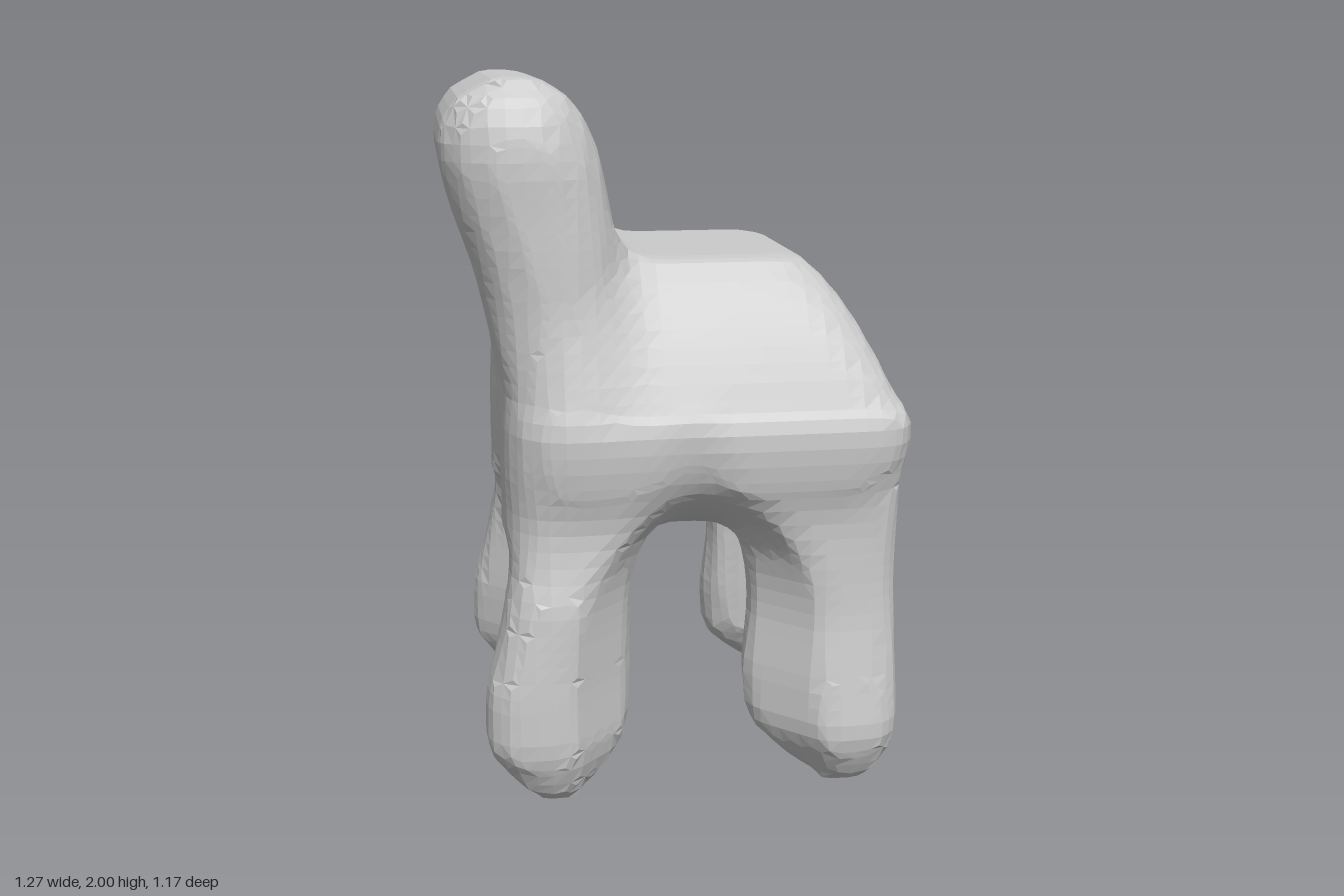
import * as THREE from 'three';

const material = new THREE.MeshStandardMaterial({ color: 0xcccccc, flatShading: true });
const CELL = 0.045;  // facet size
const BLEND = 0.12;  // fillet size where parts meet

// Distance to a body given by rounded-rectangle sections [y, x0, x1, z0, z1, cornerRadius, band];
// band is the half width allowed either side of the section's diagonal
function sectionField(sections) {
  const last = sections.length - 1;
  return (x, y, z) => {
    let s = 0;
    while (s < last - 1 && sections[s + 1][0] < y) s++;
    const low = sections[s], high = sections[s + 1];
    const t = THREE.MathUtils.clamp((y - low[0]) / (high[0] - low[0]), 0, 1);
    const [, x0, x1, z0, z1, radius, band] = low.map((v, i) => v + (high[i] - v) * t);
    const hx = (x1 - x0) / 2, hz = (z1 - z0) / 2, r = Math.min(radius, hx, hz);
    const cx = x - (x0 + x1) / 2, cz = z - (z0 + z1) / 2;
    const dx = Math.abs(cx) - hx + r, dz = Math.abs(cz) - hz + r;
    const side = Math.hypot(Math.max(dx, 0), Math.max(dz, 0)) + Math.min(Math.max(dx, dz), 0) - r;
    const cut = Math.abs(cx - cz) * Math.SQRT1_2 - band;
    return Math.max(side, cut, y - sections[last][0], sections[0][0] - y);
  };
}

// Union with a soft fillet
function blend(a, b) {
  const h = Math.max(BLEND - Math.abs(a - b), 0) / BLEND;
  return Math.min(a, b) - h * h * BLEND / 4;
}

// Sections symmetric in z, without a diagonal cut
const symmetric = ([y, x0, x1, z, r]) => [y, x0, x1, -z, z, r, 9];

// Seat: [y, x0, x1, half depth, radius], domed underside and sloping top
const seat = [
  [0.70, -0.05, 0.16, 0.11, 0.08], [0.72, -0.13, 0.24, 0.21, 0.12], [0.77, -0.26, 0.37, 0.35, 0.14],
  [0.84, -0.36, 0.49, 0.465, 0.14], [0.92, -0.40, 0.56, 0.535, 0.12], [1.0, -0.40, 0.605, 0.555, 0.09],
  [1.09, -0.40, 0.61, 0.56, 0.09], [1.18, -0.40, 0.575, 0.535, 0.11], [1.28, -0.40, 0.53, 0.49, 0.12],
  [1.38, -0.40, 0.475, 0.435, 0.12], [1.46, -0.40, 0.41, 0.375, 0.10], [1.51, -0.40, 0.35, 0.33, 0.07]
].map(symmetric);

// Backrest: leans outward, rounded along the top
const backrest = [
  [0.8, -0.455, -0.2, 0.46, 0.16], [0.95, -0.46, -0.18, 0.50, 0.16], [1.1, -0.465, -0.16, 0.53, 0.16],
  [1.2, -0.485, -0.15, 0.53, 0.17], [1.3, -0.51, -0.15, 0.525, 0.18], [1.4, -0.53, -0.155, 0.52, 0.18],
  [1.5, -0.555, -0.165, 0.52, 0.18], [1.56, -0.575, -0.17, 0.52, 0.18], [1.66, -0.61, -0.185, 0.52, 0.18],
  [1.76, -0.635, -0.205, 0.525, 0.18], [1.84, -0.645, -0.225, 0.52, 0.18], [1.92, -0.615, -0.27, 0.50, 0.14],
  [1.97, -0.565, -0.315, 0.46, 0.09], [2.0, -0.49, -0.38, 0.42, 0.03]
].map(symmetric);

// Legs: [y, inner x, outer x, inner z, outer z, radius, band], narrow across the diagonal
const frontLeg = [
  [0, 0.41, 0.53, 0.40, 0.50, 0.03, 0.06], [0.04, 0.34, 0.57, 0.34, 0.53, 0.07, 0.08],
  [0.10, 0.27, 0.60, 0.29, 0.56, 0.10, 0.11], [0.17, 0.20, 0.62, 0.25, 0.585, 0.11, 0.135],
  [0.32, 0.19, 0.62, 0.23, 0.565, 0.11, 0.14], [0.5, 0.21, 0.615, 0.21, 0.54, 0.10, 0.14],
  [0.6, 0.205, 0.61, 0.205, 0.535, 0.10, 0.145], [0.68, 0.19, 0.61, 0.19, 0.535, 0.10, 0.165],
  [0.76, 0.155, 0.61, 0.165, 0.535, 0.09, 0.20], [0.86, 0.10, 0.61, 0.12, 0.545, 0.09, 0.27],
  [1.05, 0.02, 0.60, 0.05, 0.55, 0.09, 0.40]
];
const backLeg = [
  [0, 0.31, 0.40, 0.40, 0.50, 0.03, 0.06], [0.04, 0.25, 0.46, 0.34, 0.53, 0.07, 0.08],
  [0.10, 0.19, 0.51, 0.29, 0.555, 0.10, 0.11], [0.17, 0.145, 0.56, 0.25, 0.58, 0.11, 0.135],
  [0.34, 0.14, 0.555, 0.22, 0.58, 0.11, 0.14], [0.5, 0.14, 0.51, 0.20, 0.575, 0.11, 0.14],
  [0.6, 0.14, 0.49, 0.195, 0.57, 0.11, 0.145], [0.68, 0.125, 0.475, 0.18, 0.55, 0.11, 0.165],
  [0.76, 0.095, 0.47, 0.155, 0.535, 0.12, 0.20], [0.86, 0.04, 0.46, 0.11, 0.535, 0.12, 0.27],
  [1.05, -0.03, 0.44, 0.05, 0.54, 0.14, 0.40]
];

function legField(profile, sx, sz) {
  const field = sectionField(profile);
  return (x, y, z) => field(sx * x, y, sz * z);
}

const parts = [
  ['seat', sectionField(seat)],
  ['backrest', sectionField(backrest)],
  ['frontLegLeft', legField(frontLeg, 1, 1)],
  ['frontLegRight', legField(frontLeg, 1, -1)],
  ['backLegLeft', legField(backLeg, -1, 1)],
  ['backLegRight', legField(backLeg, -1, -1)]
];

export function createModel() {
  // Sample the blended body on a grid
  const origin = [-0.76, -0.08, -0.7425], size = [35, 49, 34];
  const stride = [1, size[0], size[0] * size[1]];
  const point = (i, j, k) => [i, j, k].map((v, a) => origin[a] + v * CELL);
  const values = [];
  for (let k = 0; k < size[2]; k++) for (let j = 0; j < size[1]; j++) for (let i = 0; i < size[0]; i++) {
    const p = point(i, j, k);
    values.push(parts.map(([, field]) => field(...p)).reduce(blend));
  }

  // One vertex per crossed cell: the mean of its edge crossings
  const vertices = [];
  const eachCell = (visit) => {
    for (let k = 1; k < size[2] - 1; k++) for (let j = 1; j < size[1] - 1; j++) for (let i = 1; i < size[0] - 1; i++) {
      visit([i, j, k], i + j * stride[1] + k * stride[2]);
    }
  };
  eachCell((cell, id) => {
    const sum = [0, 0, 0];
    let count = 0;
    for (let a = 0; a < 3; a++) for (let corner = 0; corner < 8; corner++) {
      if (corner >> a & 1) continue;
      const offset = [corner & 1, corner >> 1 & 1, corner >> 2 & 1];
      const from = id + offset.reduce((total, o, axis) => total + o * stride[axis], 0);
      const v0 = values[from], v1 = values[from + stride[a]];
      if ((v0 < 0) === (v1 < 0)) continue;
      offset[a] = v0 / (v0 - v1);
      offset.forEach((o, axis) => { sum[axis] += o; });
      count++;
    }
    if (count) vertices[id] = point(...cell.map((c, a) => c + sum[a] / count));
  });

  // Join four cells around each crossed edge; the nearest part owns the facet
  const positions = parts.map(() => []);
  eachCell((cell, id) => {
    for (let a = 0; a < 3; a++) {
      const inside = values[id] < 0;
      if (inside === (values[id + stride[a]] < 0)) continue;
      const b = stride[(a + 1) % 3], c = stride[(a + 2) % 3];
      const quad = [id - b - c, id - c, id, id - b].map((n) => vertices[n]);
      if (!inside) quad.reverse();
      const centre = [0, 1, 2].map((axis) => quad.reduce((total, v) => total + v[axis] / 4, 0));
      const distances = parts.map(([, field]) => field(...centre));
      const owner = distances.indexOf(Math.min(...distances));
      [0, 1, 2, 0, 2, 3].forEach((n) => positions[owner].push(...quad[n]));
    }
  });

  const group = new THREE.Group();
  group.name = 'chair';
  parts.forEach(([name], n) => {
    const geometry = new THREE.BufferGeometry();
    geometry.setAttribute('position', new THREE.Float32BufferAttribute(positions[n], 3));
    geometry.computeVertexNormals();
    const mesh = new THREE.Mesh(geometry, material);
    mesh.name = name;
    group.add(mesh);
  });
  return group;
}
